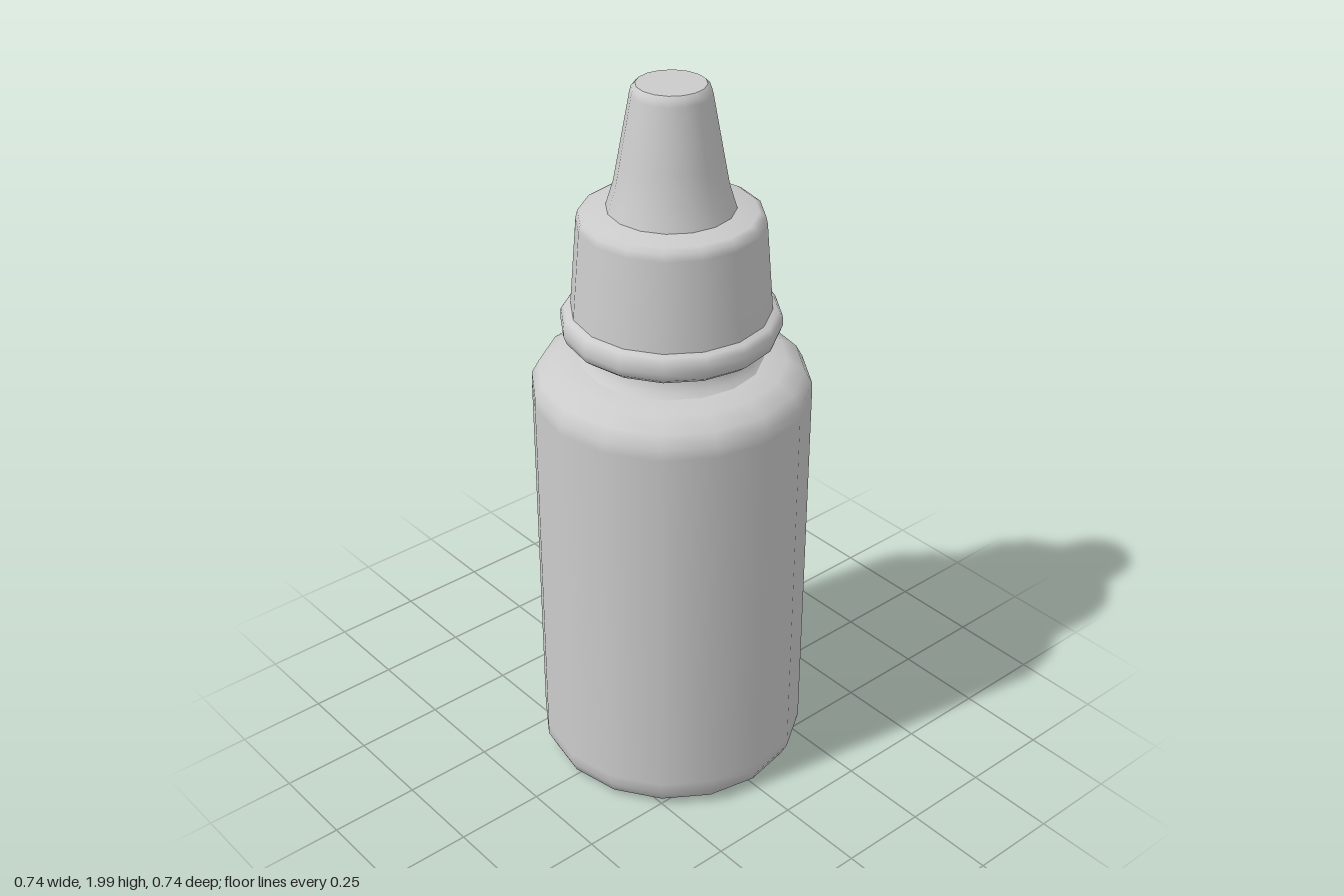
import * as THREE from 'three';
import { mergeGeometries } from 'three/addons/utils/BufferGeometryUtils.js';

const SIDES = 16;
const material = new THREE.MeshStandardMaterial({ color: 0xcccccc });

// Each section is a smooth run of [radius, height]; sections meet at sharp edges.
function turned(name, sections) {
  const geometries = sections.map((points) =>
    new THREE.LatheGeometry(points.map(([r, y]) => new THREE.Vector2(r, y)), SIDES));
  const mesh = new THREE.Mesh(mergeGeometries(geometries), material);
  mesh.name = name;
  return mesh;
}

export function createModel() {
  const group = new THREE.Group();
  group.name = 'dropperBottle';

  // Round bottle with softened base and shoulder
  group.add(turned('bottleBody', [
    [[0, 0.006], [0.29, 0.006]],
    [[0.29, 0.006], [0.32, 0.006], [0.355, 0.025], [0.372, 0.06], [0.372, 0.09],
      [0.372, 1.15], [0.371, 1.18], [0.352, 1.215], [0.305, 1.243], [0.24, 1.252]],
  ]));

  // Flared neck, running up inside the cap
  group.add(turned('neck', [
    [[0.245, 1.25], [0.23, 1.265], [0.222, 1.285], [0.215, 1.32]],
  ]));

  // Tapered cap with a rounded rim at its foot
  group.add(turned('capRim', [
    [[0, 1.312], [0.262, 1.312]],
    [[0.262, 1.312], [0.282, 1.328], [0.29, 1.35], [0.288, 1.375], [0.278, 1.39], [0.255, 1.396]],
  ]));
  group.add(turned('cap', [
    [[0.264, 1.375], [0.262, 1.4], [0.243, 1.635], [0.238, 1.655], [0.222, 1.665], [0.16, 1.676]],
  ]));

  // Nozzle tip with a closed flat end
  group.add(turned('nozzle', [
    [[0.167, 1.672], [0.146, 1.74], [0.133, 1.81], [0.103, 1.975], [0.099, 1.99], [0.089, 2]],
    [[0.089, 2], [0, 2]],
  ]));

  return group;
}
